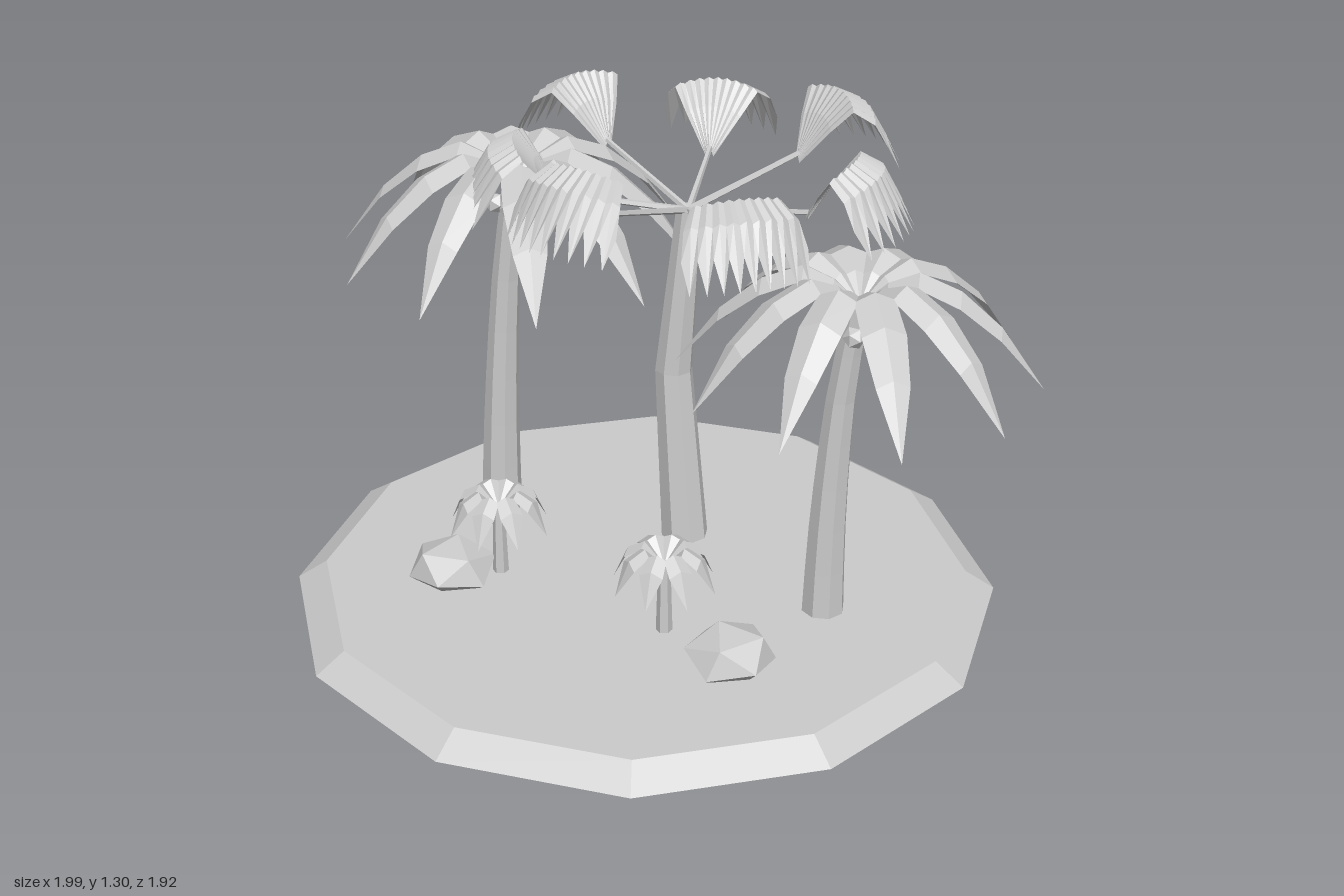
import * as THREE from 'three';

const stone = new THREE.MeshStandardMaterial({ color: 0xcccccc, flatShading: true, side: THREE.DoubleSide });
stone.name = 'lightGrey';

function part(name, geometry, parent, x = 0, y = 0, z = 0) {
  const mesh = new THREE.Mesh(geometry, stone);
  mesh.name = name;
  mesh.position.set(x, y, z);
  parent.add(mesh);
  return mesh;
}

function group(name, parent, x = 0, y = 0, z = 0) {
  const g = new THREE.Group();
  g.name = name;
  g.position.set(x, y, z);
  parent.add(g);
  return g;
}

// Surface through rows of [x, y, z] points, all rows the same length
function sheet(rows) {
  const n = rows[0].length, index = [];
  for (let r = 0; r < rows.length - 1; r++) {
    for (let c = 0; c < n - 1; c++) {
      const a = r * n + c, b = a + n;
      index.push(a, b, a + 1, b, b + 1, a + 1);
    }
  }
  const g = new THREE.BufferGeometry();
  g.setAttribute('position', new THREE.Float32BufferAttribute(rows.flat(2), 3));
  g.setIndex(index);
  g.computeVertexNormals();
  return g;
}

// Trunk through rings of [x, y, z, radius], closed at the top
function trunkGeometry(rings, sides) {
  const last = rings[rings.length - 1];
  return sheet([...rings, [last[0], last[1], last[2], 0]].map(([x, y, z, radius]) =>
    Array.from({ length: sides + 1 }, (_, i) => {
      const a = -i / sides * Math.PI * 2;
      return [x + radius * Math.sin(a), y, z + radius * Math.cos(a)];
    })));
}

// Leaf folded along its rib, through stations of [out, y, halfWidth]
const leafGeometry = stations => sheet(stations.map(([out, y, w]) =>
  [[-w, y - w * 0.45, out], [0, y, out], [w, y - w * 0.45, out]]));

const palmLeaf = leafGeometry([
  [0, -0.1, 0.012], [0.07, -0.035, 0.036], [0.15, 0, 0.054], [0.26, -0.045, 0.058], [0.37, -0.14, 0.044], [0.49, -0.31, 0]]);
const plantLeaf = leafGeometry([
  [0, -0.06, 0.008], [0.055, 0, 0.026], [0.1, -0.025, 0.032], [0.14, -0.12, 0]]);

// Pleated fan with a toothed, drooping rim
function fanGeometry() {
  const stations = [[0, 0, 0.01], [0.07, 0.1, 0.075], [0.125, 0.16, 0.115], [0.19, 0.125, 0.145], [0.235, 0.06, 0.16]];
  const columns = 18;
  const row = ([out, y, w], rim) => Array.from({ length: columns + 1 }, (_, c) => {
    const s = c / columns * 2 - 1;
    const ridge = c % 2 === 1;
    const bow = 1 - 0.22 * s * s;
    const grow = rim && ridge ? 1.18 : 1;
    return [w * s * (grow > 1 ? 1.06 : 1),
      y - 0.02 * s * s + (ridge ? 0.06 * w : 0) - (grow > 1 ? 0.085 : 0),
      out * bow * grow];
  });
  return sheet(stations.map((st, i) => row(st, i === stations.length - 1)));
}

function crown(name, geometry, count, phase, scale, parent, x, y, z) {
  const g = group(name, parent, x, y, z);
  for (let i = 0; i < count; i++) {
    const leaf = part('leaf', geometry, g);
    leaf.rotation.y = phase + i / count * Math.PI * 2;
    leaf.scale.setScalar(scale);
  }
  return g;
}

// Curved palm with leaves and nuts
function palm(name, path, top, scale, parent) {
  const g = group(name, parent);
  const z = -0.07;
  const curve = new THREE.CatmullRomCurve3(path.map(([x, y]) => new THREE.Vector3(x, y, z)));
  const rings = curve.getPoints(7).map((p, i) => [p.x, p.y, p.z, 0.058 - 0.026 * i / 7]);
  part('trunk', trunkGeometry(rings, 8), g);
  const x = path[path.length - 1][0];
  crown('crown', palmLeaf, 10, 4 * Math.PI / 180, scale, g, x, top, z - 0.01);
  for (let i = 0; i < 4; i++) {
    const a = i * Math.PI / 2 + 0.5;
    part('nut', new THREE.IcosahedronGeometry(0.03, 0), g,
      x - 0.01 + 0.045 * Math.sin(a), top - 0.165, z + 0.045 * Math.cos(a));
  }
}

// Tall palm with fans on long stems
function fanPalm(parent) {
  const g = group('fanPalm', parent);
  part('trunk', trunkGeometry([
    [-0.04, 0.05, -0.212, 0.066], [-0.08, 0.56, -0.215, 0.052], [-0.037, 1.04, -0.22, 0.036]], 8), g);
  const fan = fanGeometry();
  const high = [true, false, false, true, false, true, false];
  high.forEach((isHigh, i) => {
    const frond = group('frond', g, -0.037, 1.035, -0.214);
    frond.rotation.y = (-5 + i * 360 / 7) * Math.PI / 180;
    const tip = new THREE.Vector3(0, isHigh ? 0.1 : 0.05, 0.335);
    const stem = part('stem', new THREE.CylinderGeometry(0.007, 0.01, tip.length(), 5), frond);
    stem.position.copy(tip).multiplyScalar(0.5);
    stem.quaternion.setFromUnitVectors(new THREE.Vector3(0, 1, 0), tip.clone().normalize());
    part('fan', fan, frond, 0, tip.y - 0.005, tip.z - 0.005);
  });
}

export function createModel() {
  const model = new THREE.Group();
  model.name = 'palmIsland';

  part('ground', new THREE.CylinderGeometry(0.88, 0.96, 0.053, 12), model, -0.04, 0.0265, 0);

  palm('rightPalm', [[-0.57, 0.05], [-0.562, 0.3], [-0.548, 0.55], [-0.525, 0.82], [-0.49, 1.08]], 1.17, 1, model);
  palm('leftPalm', [[0.475, 0.05], [0.478, 0.28], [0.488, 0.5], [0.505, 0.72], [0.54, 0.96]], 1.053, 0.95, model);
  fanPalm(model);

  // Small plants
  for (const [x, z] of [[-0.365, 0.225], [0.17, 0.24]]) {
    const plant = group('smallPlant', model, x, 0, z);
    part('stalk', new THREE.CylinderGeometry(0.016, 0.022, 0.21, 6), plant, 0, 0.155, 0);
    crown('crown', plantLeaf, 8, 0.2, 1, plant, 0, 0.31, 0);
  }

  // Rocks
  for (const [x, z, turn] of [[-0.465, 0.31, 0.3], [0.392, 0.28, 1.1]]) {
    const rock = part('rock', new THREE.IcosahedronGeometry(1, 0), model, x, 0.08, z);
    rock.geometry.rotateX(0.55);
    rock.scale.set(0.125, 0.075, 0.12);
    rock.rotation.y = turn;
  }
  return model;
}
